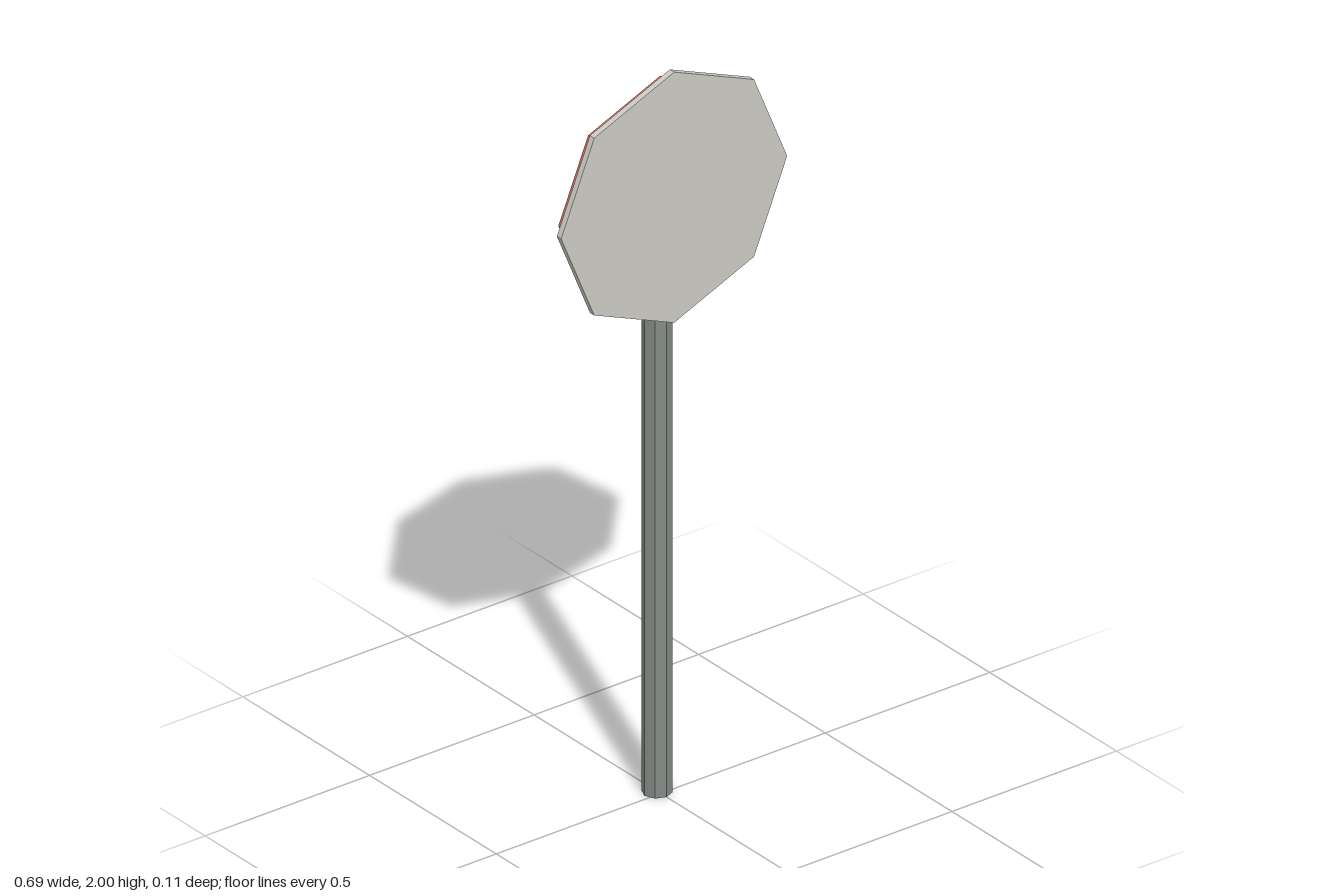
import * as THREE from 'three';

const SIDES = 8;
const DISC_Y = 1.6565;

const material = (name, color) => {
  const m = new THREE.MeshStandardMaterial({ color, flatShading: true });
  m.name = name;
  return m;
};

// Octagonal plate standing upright, with a corner at the top
function plate(name, radius, zBack, zFront, mat) {
  const geometry = new THREE.CylinderGeometry(radius, radius, zFront - zBack, SIDES);
  geometry.rotateX(Math.PI / 2);
  const mesh = new THREE.Mesh(geometry, mat);
  mesh.name = name;
  mesh.position.set(0, DISC_Y, (zBack + zFront) / 2);
  return mesh;
}

export function createModel() {
  const group = new THREE.Group();
  group.name = 'roadSign';

  const pale = material('pale grey', 0xcccac4);
  const red = material('muted red', 0xc4695f);
  const steel = material('steel grey', 0x838b86);

  // Post, set slightly behind the sign and sunk into its back
  const height = 1.81;
  const post = new THREE.Mesh(new THREE.CylinderGeometry(0.038, 0.038, height, SIDES), steel);
  post.name = 'post';
  post.position.set(0, height / 2, -0.015);
  group.add(post);

  // Red backing and the wider pale face in front of it
  group.add(plate('signBacking', 0.309, -0.003, 0.036, red));
  group.add(plate('signFace', 0.3435, 0.036, 0.053, pale));

  return group;
}
